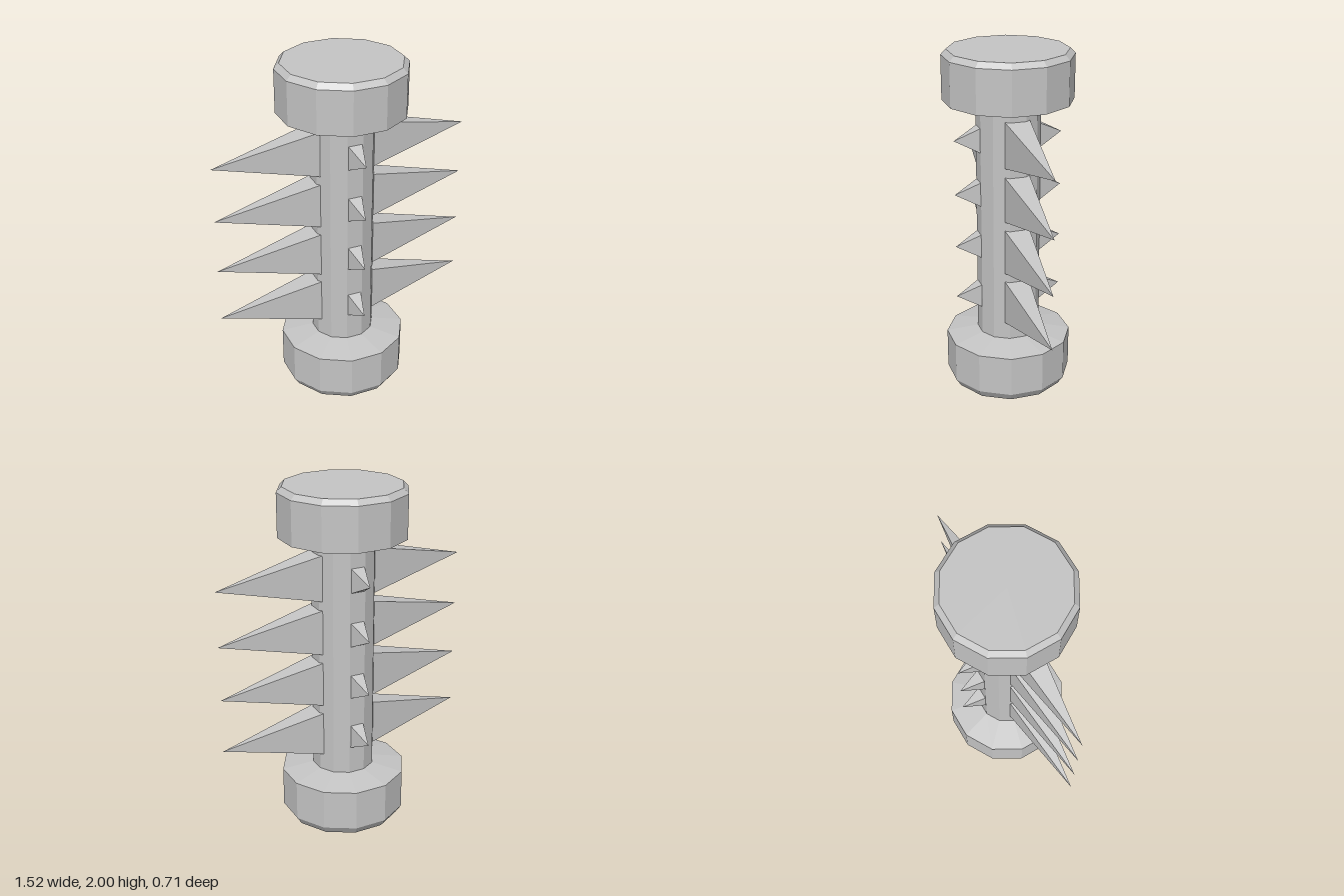
import * as THREE from 'three';

const SIDES = 12;
const metal = new THREE.MeshStandardMaterial({ color: 0xc4c4c4 });
metal.name = 'plain grey';

// Gives every facet its own flat normal
function faceted(geometry) {
  const flat = geometry.index ? geometry.toNonIndexed() : geometry;
  flat.computeVertexNormals();
  return flat;
}

// Twelve-sided turned part, with flats facing the four axes
function turned(name, profile) {
  const points = profile.map(([r, y]) => new THREE.Vector2(r, y));
  const mesh = new THREE.Mesh(faceted(new THREE.LatheGeometry(points, SIDES, Math.PI / SIDES)), metal);
  mesh.name = name;
  return mesh;
}

// Four-sided pyramid pointing along +z from z = base to z = tip
function spikeGeometry(halfWidth, halfHeight, base, tip) {
  const g = new THREE.ConeGeometry(Math.SQRT2, 1, 4, 1, false, Math.PI / 4);
  g.translate(0, 0.5, 0);
  g.scale(halfWidth, tip - base, halfHeight);
  g.rotateX(Math.PI / 2);
  g.translate(0, 0, base);
  return faceted(g);
}

export function createModel() {
  const model = new THREE.Group();
  model.name = 'spikedPost';

  // Post and its two bevelled end caps
  model.add(
    turned('shaft', [[0.181, 0.3], [0.181, 1.71]]),
    turned('bottomCap', [[0, 0], [0.333, 0], [0.366, 0.05], [0.366, 0.287], [0.181, 0.32], [0, 0.32]]),
    turned('topCap', [[0, 1.685], [0.181, 1.685], [0.366, 1.72], [0.366, 1.97], [0.337, 2], [0, 2]])
  );

  // Four tiers of spikes: long ones to the sides, short ones front and back
  const longSpike = spikeGeometry(0.071, 0.132, 0.163, 0.76);
  const shortSpike = spikeGeometry(0.043, 0.075, 0.165, 0.315);
  const names = ['frontSpike', 'leftSpike', 'backSpike', 'rightSpike'];
  for (let tier = 0; tier < 4; tier++) {
    names.forEach((name, i) => {
      const spike = new THREE.Mesh(i % 2 ? longSpike : shortSpike, metal);
      spike.name = name + (tier + 1);
      spike.position.y = 0.554 + tier * 0.317;
      spike.rotation.y = i * Math.PI / 2;
      model.add(spike);
    });
  }
  return model;
}
